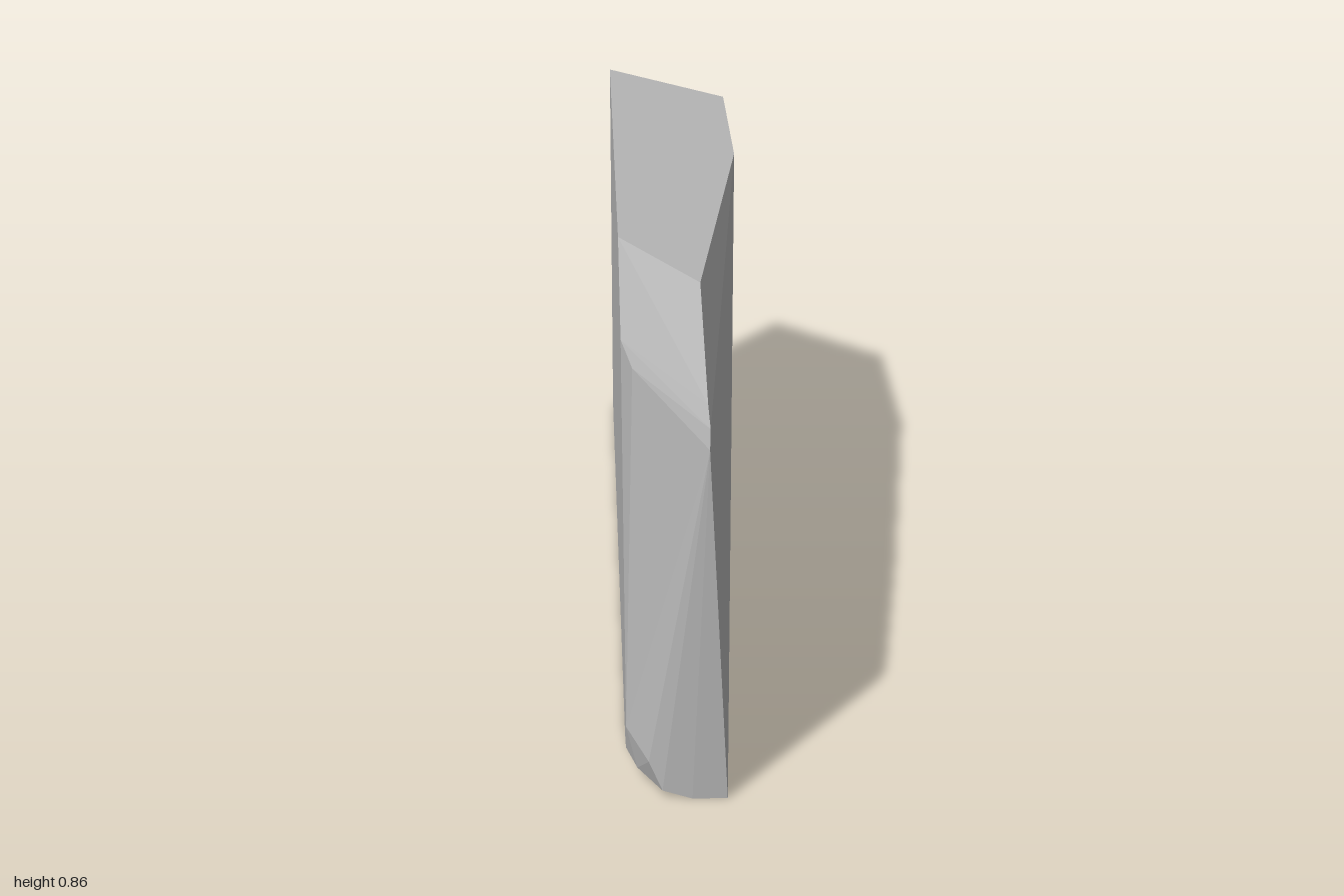
import * as THREE from 'three';
import { ConvexGeometry } from 'three/addons/geometries/ConvexGeometry.js';

export function createModel() {
  const model = new THREE.Group();
  model.name = 'facetedSlab';
  const stone = new THREE.MeshStandardMaterial({ color: 0xb4b4b4, flatShading: true });
  stone.name = 'plainGrey';

  const corners = [
    // flat top, with a slanted back end and a pointed front end
    [-0.13, 0.86, -1], [0.13, 0.86, -0.74], [0.13, 0.86, -0.27],
    [0.02, 0.86, 0.58], [-0.13, 0.86, 0.3],
    // sloped nose below the top
    [-0.13, 0.745, 0.573], [-0.11, 0.72, 0.66], [0.02, 0.745, 0.91],
    [0.022, 0.72, 0.965], [0.02, 0.69, 0.99],
    // foot of the front edge
    [0.055, 0, 1], [-0.01, 0, 1], [-0.065, 0.015, 0.995], [-0.09, 0.07, 0.985],
    // rounded lower front corner
    [-0.11, 0.025, 0.925], [-0.13, 0.1, 0.905], [-0.13, 0.04, 0.875],
    [-0.13, 0.012, 0.8], [-0.13, 0, 0.72],
    // bottom and its chamfered back edge
    [0.13, 0, -0.3], [0.13, 0, -0.685], [0.13, 0.015, -0.72], [0.13, 0.04, -0.74],
    [-0.13, 0.04, -0.982], [-0.13, 0.015, -0.965], [-0.13, 0, -0.94],
  ];
  const slab = new THREE.Mesh(
    new ConvexGeometry(corners.map((c) => new THREE.Vector3(...c))), stone);
  slab.name = 'slab';
  model.add(slab);
  return model;
}
